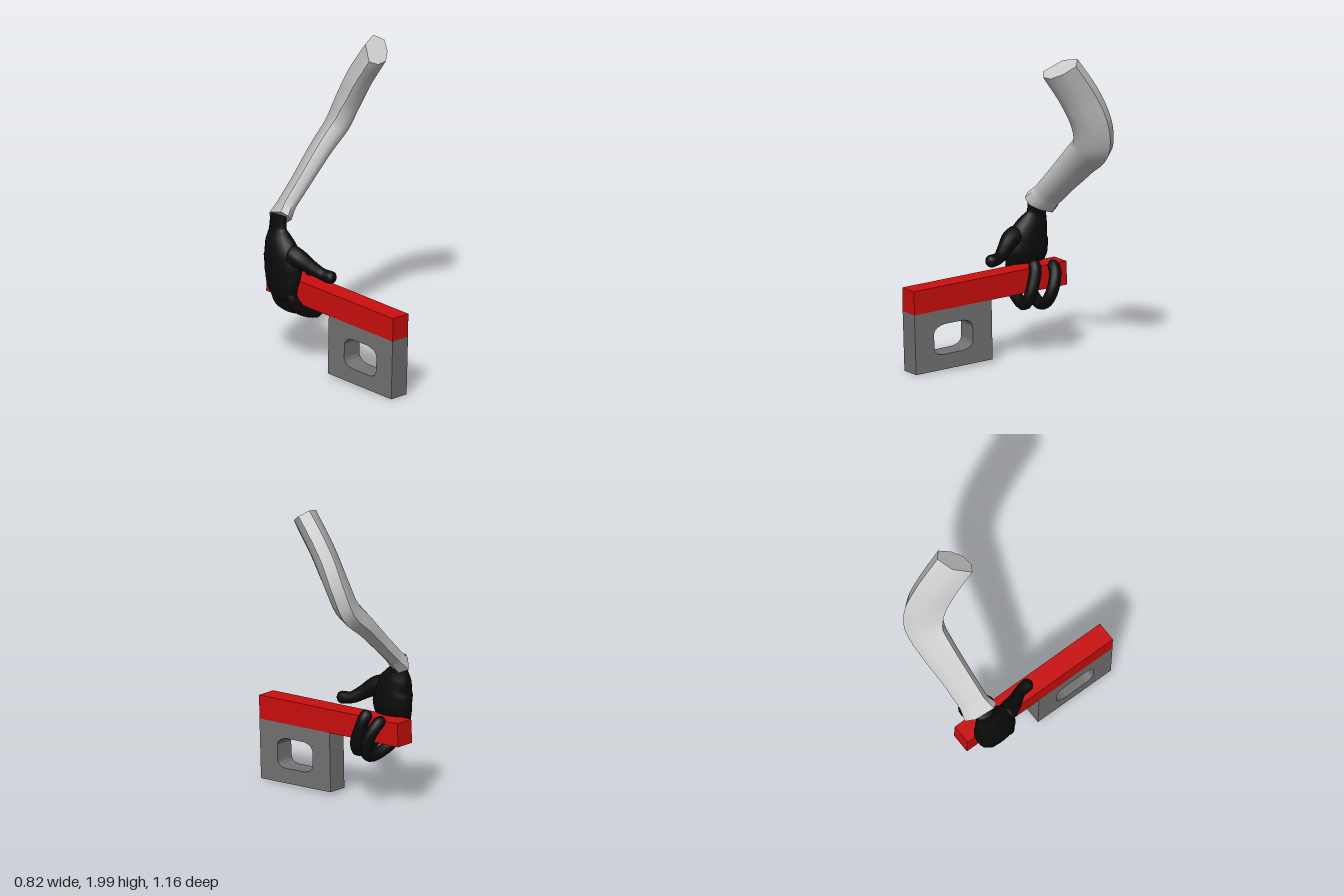
import * as THREE from 'three';
import { toCreasedNormals } from 'three/addons/utils/BufferGeometryUtils.js';

const V = (x, y, z) => new THREE.Vector3(x, y, z);
const circle = (n) => Array.from({ length: n }, (_, i) => {
  const a = (i / n) * Math.PI * 2;
  return [Math.cos(a), Math.sin(a)];
});

// Sweeps a counter-clockwise profile along stations [x, y, z, halfU, halfW] and caps both ends.
// "ref" is the direction the profile's second axis leans towards.
function sweep(stations, profile, steps, ref, rounded = false) {
  const curve = new THREE.CatmullRomCurve3(stations.map((s) => V(s[0], s[1], s[2])));
  const pos = [], index = [], n = profile.length;
  for (let k = 0; k <= steps; k++) {
    // rounded sweeps crowd the rings towards the ends to form domes
    const t = rounded ? (1 - Math.cos((k / steps) * Math.PI)) / 2 : k / steps;
    const f = t * (stations.length - 1);
    const i = Math.min(Math.floor(f), stations.length - 2);
    const p = curve.getPoint(t), T = curve.getTangent(t);
    const w = ref.clone().addScaledVector(T, -ref.dot(T)).normalize();
    const u = T.clone().cross(w);
    const e = Math.min(1, Math.min(t, 1 - t) / 0.09);
    const dome = rounded ? Math.sqrt(Math.max(0.002, 1 - (1 - e) ** 2)) : 1;
    const su = dome * THREE.MathUtils.lerp(stations[i][3], stations[i + 1][3], f - i);
    const sw = dome * THREE.MathUtils.lerp(stations[i][4], stations[i + 1][4], f - i);
    for (const [a, b] of profile) {
      const q = p.clone().addScaledVector(u, a * su).addScaledVector(w, b * sw);
      pos.push(q.x, q.y, q.z);
    }
  }
  for (let k = 0; k < steps; k++) {
    for (let i = 0; i < n; i++) {
      const a = k * n + i, b = k * n + ((i + 1) % n);
      index.push(a, a + n, b, b, a + n, b + n);
    }
  }
  const last = steps * n;
  for (let i = 1; i < n - 1; i++) {
    index.push(0, i, i + 1, last, last + i + 1, last + i);
  }
  const g = new THREE.BufferGeometry();
  g.setAttribute('position', new THREE.Float32BufferAttribute(pos, 3));
  g.setIndex(index);
  g.computeVertexNormals();
  return g;
}

// Side outline given as [z, y], extruded across x from -0.29 to -0.16
function slab(outline, hole) {
  const shape = new THREE.Shape(outline.map(([z, y]) => new THREE.Vector2(z, y)));
  if (hole) shape.holes.push(hole);
  const g = new THREE.ExtrudeGeometry(shape, { depth: 0.13, bevelEnabled: false, curveSegments: 4 });
  return g.rotateY(-Math.PI / 2).translate(-0.16, 0, 0);
}

export function createModel() {
  const model = new THREE.Group();
  const grey = new THREE.MeshStandardMaterial({ color: 0xcccccc });
  const darkGrey = new THREE.MeshStandardMaterial({ color: 0x737373 });
  const red = new THREE.MeshStandardMaterial({ color: 0xcc0e0e });
  const black = new THREE.MeshStandardMaterial({ color: 0x0b0b0b });
  const add = (name, geometry, material, parent = model) => {
    const mesh = new THREE.Mesh(geometry, material);
    mesh.name = name;
    parent.add(mesh);
  };

  // Slightly tilted bar
  add('bar', slab([[0.58, 0.38], [0.583, 0.53], [-0.54, 0.565], [-0.547, 0.415]]), red);

  // Block under the bar with a rounded opening
  const hole = new THREE.Path();
  hole.moveTo(0.22, 0.108);
  hole.lineTo(0.37, 0.102);
  hole.quadraticCurveTo(0.43, 0.105, 0.431, 0.15);
  hole.lineTo(0.436, 0.24);
  hole.quadraticCurveTo(0.43, 0.285, 0.35, 0.295);
  hole.lineTo(0.21, 0.298);
  hole.quadraticCurveTo(0.155, 0.285, 0.15, 0.25);
  hole.lineTo(0.148, 0.16);
  hole.quadraticCurveTo(0.155, 0.115, 0.22, 0.108);
  add('holedBlock', slab([[0.567, 0], [0.58, 0.38], [0.011, 0.398], [0.003, 0.02]], hole), darkGrey);

  // Bent arm: rounded front, flat faceted back
  const armProfile = [
    [1, 0.48], [0.53, 1], [-0.4, 0.57], [-1, -0.64], [-0.55, -1], [0.09, -0.92], [0.66, -0.32],
  ];
  const arm = sweep([
    [0.30, 1.935, -0.19, 0.11, 0.105],
    [0.297, 1.73, -0.335, 0.108, 0.11],
    [0.285, 1.54, -0.432, 0.11, 0.11],
    [0.235, 1.39, -0.472, 0.11, 0.108],
    [0.10, 1.27, -0.472, 0.095, 0.1],
    [-0.08, 1.11, -0.455, 0.082, 0.088],
    [-0.22, 0.985, -0.445, 0.075, 0.085],
    [-0.285, 0.925, -0.437, 0.08, 0.105],
  ], armProfile, 28, V(0, 0, -1));
  add('arm', toCreasedNormals(arm, 0.9), grey);

  // Hand gripping the bar
  const hand = new THREE.Group();
  hand.name = 'hand';
  model.add(hand);
  const back = V(0, 0, -1);
  add('wristAndPalm', sweep([
    [-0.305, 0.95, -0.42, 0.038, 0.06],
    [-0.312, 0.86, -0.42, 0.036, 0.068],
    [-0.32, 0.80, -0.405, 0.065, 0.1],
    [-0.325, 0.72, -0.375, 0.083, 0.135],
    [-0.325, 0.62, -0.357, 0.085, 0.145],
    [-0.342, 0.52, -0.345, 0.058, 0.13],
    [-0.335, 0.43, -0.33, 0.035, 0.1],
  ], circle(20), 28, back), black, hand);

  add('thumb', sweep([
    [-0.33, 0.73, -0.30, 0.07, 0.06],
    [-0.315, 0.715, -0.235, 0.06, 0.06],
    [-0.28, 0.67, -0.165, 0.045, 0.045],
    [-0.243, 0.63, -0.10, 0.037, 0.037],
    [-0.225, 0.618, 0, 0.042, 0.042],
  ], circle(14), 24, V(1, 0, 0), true), black, hand);

  // Fingers pass under the bar and curl up its far side
  const fingers = {
    indexFinger: [
      [-0.35, 0.52, -0.28], [-0.325, 0.41, -0.255], [-0.25, 0.355, -0.24], [-0.155, 0.335, -0.23],
      [-0.115, 0.40, -0.245], [-0.118, 0.49, -0.275], [-0.135, 0.56, -0.295], [-0.175, 0.595, -0.295],
    ],
    outerFinger: [
      [-0.35, 0.52, -0.41], [-0.325, 0.41, -0.385], [-0.25, 0.35, -0.36], [-0.14, 0.325, -0.345],
      [-0.085, 0.36, -0.355], [-0.064, 0.44, -0.38], [-0.095, 0.53, -0.415], [-0.16, 0.585, -0.43],
    ],
  };
  for (const [name, path] of Object.entries(fingers)) {
    add(name, sweep(path.map((p) => [...p, 0.037, 0.039]), circle(14), 32, back, true), black, hand);
  }
  return model;
}
